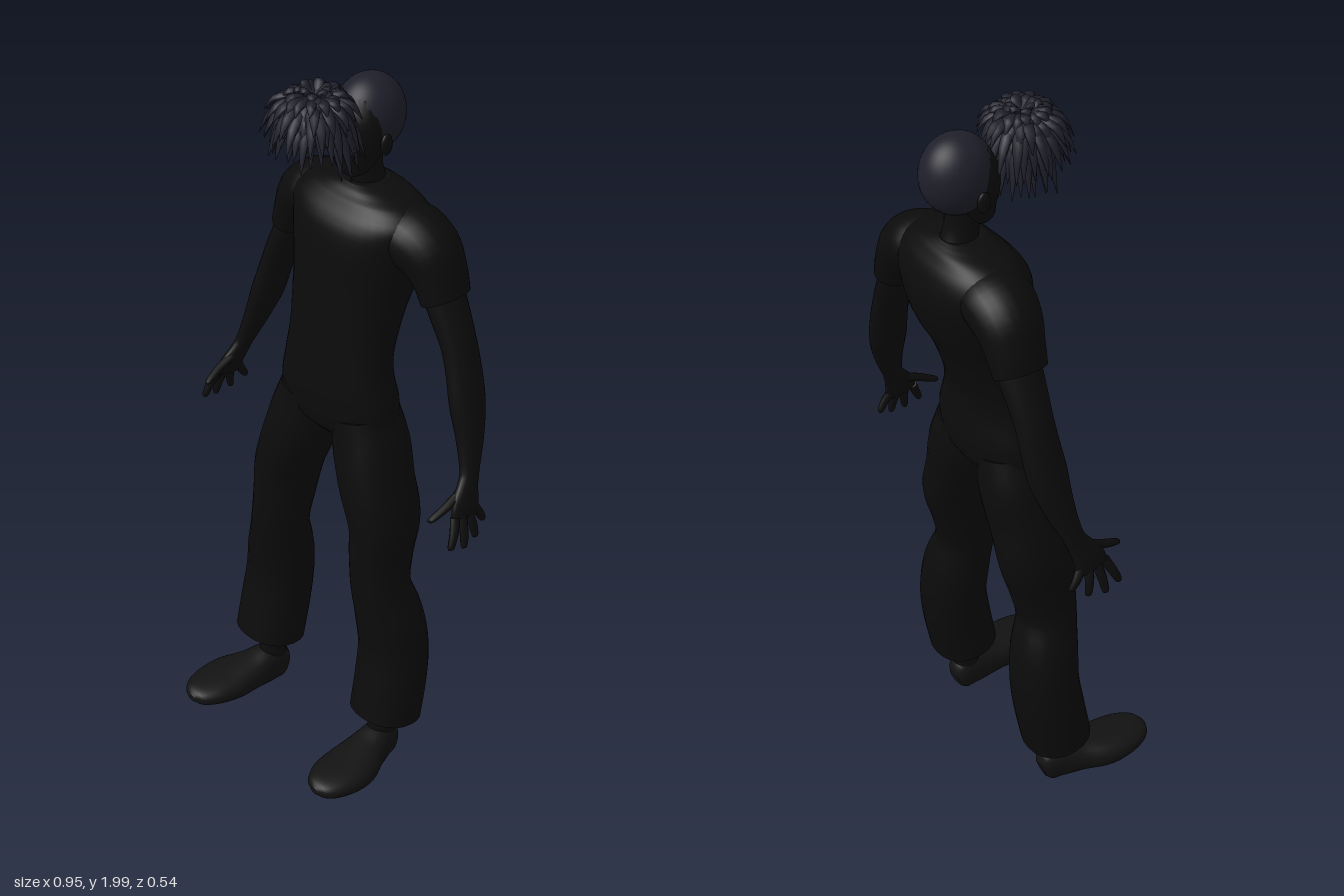
import * as THREE from 'three';

const mat = (name, color) => {
  const m = new THREE.MeshStandardMaterial({ color });
  m.name = name;
  return m;
};

// Smooth closed tube through cross-sections [x, y, z, halfWidth, halfDepth]; depth runs along ref
function loft(sections, ref, { sides = 24, steps = 4, power = 2 } = {}) {
  const path = new THREE.CatmullRomCurve3(sections.map(s => new THREE.Vector3(s[0], s[1], s[2])), false, 'catmullrom');
  const size = new THREE.CatmullRomCurve3(sections.map(s => new THREE.Vector3(s[3], s[4], 0)), false, 'catmullrom');
  const n = (sections.length - 1) * steps;
  const pos = [], index = [];
  const ring = (t, k) => {
    const P = path.getPoint(t), S = size.getPoint(t), T = path.getTangent(t);
    const A = ref.clone().cross(T).normalize(), B = T.clone().cross(A);
    for (let j = 0; j < sides; j++) {
      const c = Math.cos(j / sides * 2 * Math.PI), s = Math.sin(j / sides * 2 * Math.PI);
      const u = Math.sign(c) * Math.abs(c) ** (2 / power) * S.x * k;
      const v = Math.sign(s) * Math.abs(s) ** (2 / power) * S.y * k;
      pos.push(P.x + A.x * u + B.x * v, P.y + A.y * u + B.y * v, P.z + A.z * u + B.z * v);
    }
  };
  // separate rings at each end make crisp caps
  ring(0, 0); ring(0, 1);
  for (let i = 0; i <= n; i++) ring(i / n, 1);
  ring(1, 1); ring(1, 0);
  for (let i = 0; i < n + 4; i++) {
    for (let j = 0; j < sides; j++) {
      const a = i * sides + j, b = i * sides + (j + 1) % sides;
      index.push(a, b, a + sides, b, b + sides, a + sides);
    }
  }
  const g = new THREE.BufferGeometry();
  g.setAttribute('position', new THREE.Float32BufferAttribute(pos, 3));
  g.setIndex(index);
  g.computeVertexNormals();
  return g;
}

export function createModel() {
  const model = new THREE.Group();
  model.name = 'standingFigure';
  const cloth = mat('black cloth', 0x0b0b0b);
  const skin = mat('black skin', 0x0c0c0c);
  const shoe = mat('charcoal shoe', 0x121212);
  const hair = mat('dark blue hair', 0x1f1f2b);
  const X = new THREE.Vector3(1, 0, 0), Y = new THREE.Vector3(0, 1, 0), Z = new THREE.Vector3(0, 0, 1);

  const add = (name, geometry, material, parent = model) => {
    const m = new THREE.Mesh(geometry, material);
    m.name = name;
    parent.add(m);
    return m;
  };
  const ball = (name, material, p, r, parent) => {
    const m = add(name, new THREE.SphereGeometry(1, 32, 24), material, parent);
    m.position.set(...p);
    m.scale.set(...r);
    return m;
  };

  // Torso from pelvis to collar
  add('torso', loft([
    [0, 1.01, -0.065, 0.08, 0.06], [0, 1.05, -0.065, 0.17, 0.088], [0, 1.12, -0.065, 0.183, 0.097],
    [0, 1.2, -0.062, 0.165, 0.092], [0, 1.28, -0.07, 0.156, 0.092], [0, 1.4, -0.095, 0.163, 0.108],
    [0, 1.5, -0.122, 0.178, 0.13], [0, 1.58, -0.138, 0.195, 0.133], [0, 1.63, -0.145, 0.2, 0.118],
    [0, 1.668, -0.147, 0.165, 0.092], [0, 1.688, -0.147, 0.1, 0.072], [0, 1.698, -0.147, 0.055, 0.055],
  ], Z, { sides: 40, power: 2.3 }), cloth);

  // Neck, face, ears and skull cap
  const head = new THREE.Group();
  head.name = 'head';
  model.add(head);
  add('neck', loft([[0, 1.66, -0.16, 0.05, 0.05], [0, 1.72, -0.147, 0.04, 0.044], [0, 1.8, -0.14, 0.042, 0.048]], Z), skin, head);
  add('face', loft([
    [0, 1.724, -0.083, 0.02, 0.018], [0, 1.74, -0.092, 0.042, 0.036], [0, 1.775, -0.11, 0.06, 0.055],
    [0, 1.82, -0.118, 0.073, 0.067], [0, 1.87, -0.125, 0.076, 0.068], [0, 1.92, -0.135, 0.06, 0.05],
  ], Z), skin, head);
  add('nose', loft([[0, 1.835, -0.058, 0.006, 0.008], [0, 1.805, -0.05, 0.009, 0.012], [0, 1.795, -0.053, 0.007, 0.006]], Z, { sides: 10 }), skin, head);
  ball('skullCap', hair, [0, 1.864, -0.157], [0.083, 0.102, 0.094], head);
  for (const s of [1, -1]) ball('ear', skin, [s * 0.08, 1.815, -0.135], [0.01, 0.028, 0.018], head);

  // Limbs, built once per side
  for (const s of [1, -1]) {
    const side = s > 0 ? 'left' : 'right';
    const limb = (name, sections, material, ref = Z, options) =>
      add(side + name, loft(sections.map(([x, ...rest]) => [x * s, ...rest]), ref, options), material);

    limb('Sleeve', [
      [0.1, 1.605, -0.15, 0.06, 0.08], [0.155, 1.598, -0.152, 0.077, 0.092], [0.208, 1.57, -0.157, 0.077, 0.086],
      [0.243, 1.52, -0.16, 0.061, 0.077], [0.266, 1.464, -0.16, 0.05, 0.072],
    ], cloth);
    limb('Arm', [
      [0.23, 1.53, -0.16, 0.045, 0.06], [0.275, 1.44, -0.16, 0.042, 0.057], [0.315, 1.36, -0.158, 0.038, 0.051],
      [0.34, 1.29, -0.155, 0.036, 0.052], [0.364, 1.21, -0.147, 0.036, 0.053], [0.39, 1.13, -0.133, 0.029, 0.042],
      [0.415, 1.05, -0.11, 0.021, 0.029], [0.425, 1.015, -0.095, 0.019, 0.032], [0.438, 0.975, -0.075, 0.018, 0.044],
      [0.446, 0.945, -0.067, 0.012, 0.045],
    ], skin);

    // Fingers: [base, tip]
    const fingers = [
      [[0.444, 0.955, -0.032], [0.464, 0.888, 0]], [[0.446, 0.95, -0.055], [0.469, 0.876, -0.043]],
      [[0.445, 0.95, -0.079], [0.462, 0.882, -0.09]], [[0.442, 0.958, -0.1], [0.447, 0.905, -0.132]],
      [[0.424, 1.005, -0.07], [0.418, 0.965, 0.025]],
    ];
    fingers.forEach(([b, t], i) => {
      const mid = b.map((v, k) => (v + t[k]) / 2 + (k === 0 ? 0.004 : 0));
      const end = t.map((v, k) => v + (v - b[k]) * 0.08);
      limb(i === 4 ? 'Thumb' : 'Finger', [[...b, 0.012, 0.013], [...mid, 0.011, 0.012], [...t, 0.008, 0.009], [...end, 0.002, 0.002]],
        skin, i === 4 ? X : Z, { sides: 10, steps: 3 });
    });

    limb('TrouserLeg', [
      [0.095, 1.09, -0.065, 0.08, 0.088], [0.115, 1.0, -0.065, 0.095, 0.1], [0.147, 0.9, -0.055, 0.089, 0.103],
      [0.18, 0.8, -0.052, 0.08, 0.103], [0.186, 0.7, -0.037, 0.075, 0.09], [0.195, 0.6, -0.028, 0.075, 0.08],
      [0.212, 0.5, -0.045, 0.092, 0.086], [0.224, 0.4, -0.052, 0.096, 0.088], [0.23, 0.3, -0.04, 0.098, 0.091],
      [0.233, 0.185, -0.018, 0.098, 0.091],
    ], cloth, Z, { power: 2.2 });
    limb('Ankle', [[0.222, 0.24, -0.02, 0.032, 0.038], [0.221, 0.16, -0.018, 0.033, 0.04], [0.222, 0.06, -0.01, 0.04, 0.042]], skin);
    limb('Shoe', [
      [0.219, 0.05, -0.055, 0.022, 0.03], [0.22, 0.055, -0.04, 0.037, 0.051], [0.224, 0.069, 0, 0.046, 0.06],
      [0.234, 0.069, 0.06, 0.059, 0.05], [0.248, 0.07, 0.13, 0.076, 0.042], [0.252, 0.075, 0.2, 0.07, 0.032],
      [0.253, 0.077, 0.25, 0.045, 0.023], [0.253, 0.077, 0.269, 0.012, 0.009],
    ], shoe, Y, { power: 2.3 });
  }

  // Shaggy forward hair: a small dome under radiating, drooping locks
  const wig = new THREE.Group();
  wig.name = 'hair';
  model.add(wig);
  ball('hairDome', hair, [0, 1.9, 0.01], [0.085, 0.058, 0.078], wig);
  let seed = 7;
  const rand = () => (seed = (seed * 16807) % 2147483647) / 2147483647;
  const layers = [ // count, reach, tip height, peak height
    [34, 0.98, 1.82, 1.945], [32, 1.0, 1.865, 1.955], [28, 0.95, 1.91, 1.965], [22, 0.72, 1.95, 1.972], [10, 0.4, 1.978, 1.975],
  ];
  layers.forEach(([count, reach, tipY, peakY], layer) => {
    for (let i = 0; i < count; i++) {
      const phi = (i + 0.8 * rand()) / count * Math.PI * 2;
      const c = Math.cos(phi), d = Math.sin(phi);
      const R = reach * (0.85 + 0.3 * rand()) * (d > 0 ? 0.108 + 0.006 * d : 0.108 + 0.006 * d);
      // lower locks stay longer beside the face, shorter at the fringe
      const drop = (layer < 2 ? (d > 0.3 ? 0.018 : -0.022) : 0) + (rand() - 0.5) * 0.03;
      const yTip = Math.min(tipY + drop, 1.992);
      const at = (k, y, a, b) => [c * R * k, y, 0.022 + d * R * k, a, b];
      add('hairLock', loft([
        at(0.05, peakY - 0.008, 0.006, 0.008), at(0.45, peakY, 0.008, 0.013),
        at(0.82, (peakY + yTip) / 2 + 0.012, 0.007, 0.013), at(1.04, yTip, 0.0008, 0.001),
      ], new THREE.Vector3(-d, 0, c), { sides: 6, steps: 3 }), hair, wig);
    }
  });
  return model;
}
